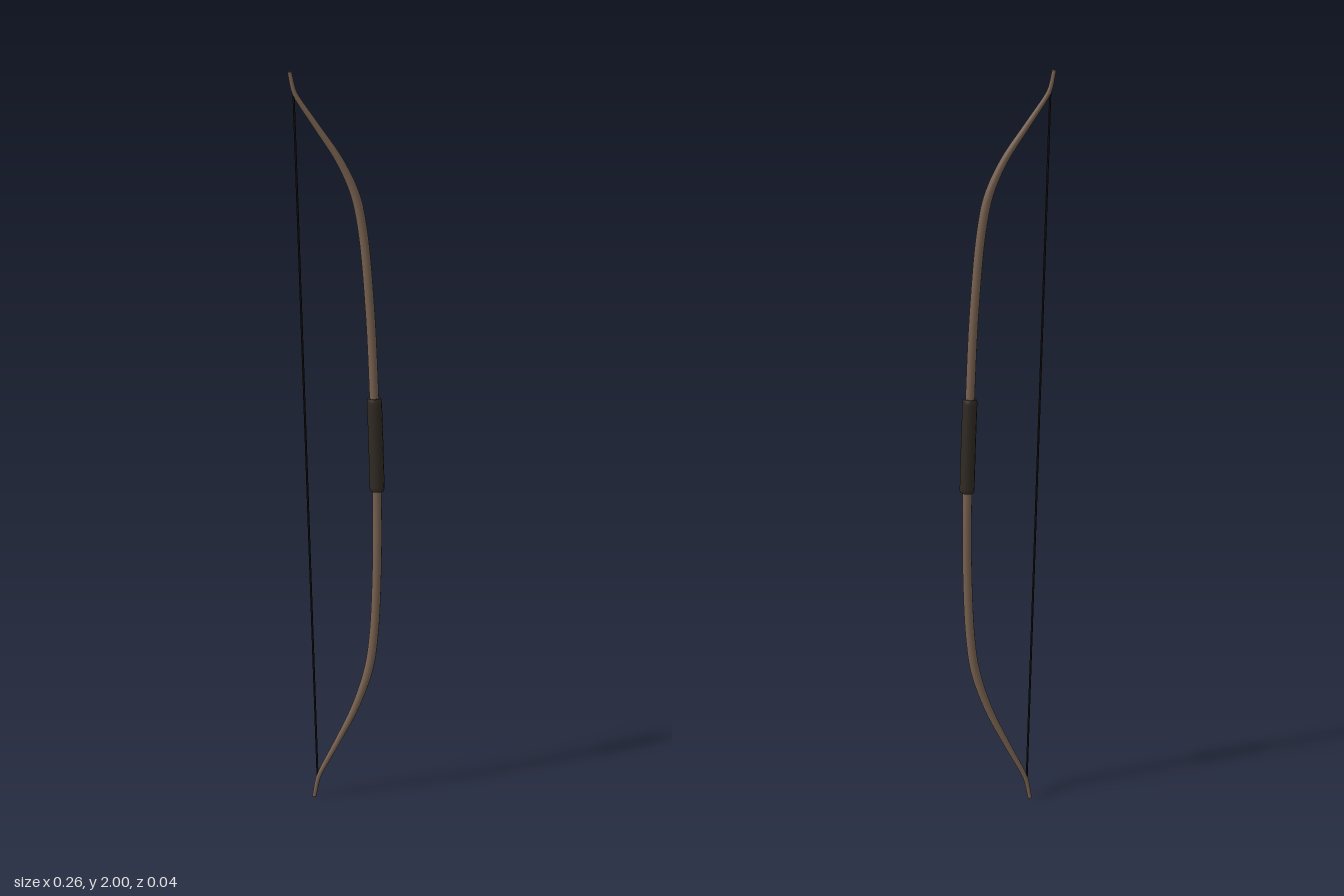
import * as THREE from 'three';

// Tapered tube with closed ends: sweeps a circle along a curve, radius given by r(t)
function sweep(curve, steps, sides, r) {
  const pos = [], idx = [];
  const side = new THREE.Vector3(0, 0, 1);
  for (let i = 0; i <= steps; i++) {
    const t = i / steps;
    const p = curve.getPointAt(t), tan = curve.getTangentAt(t);
    const n = new THREE.Vector3().crossVectors(side, tan).normalize();
    for (let j = 0; j < sides; j++) {
      const a = (j / sides) * Math.PI * 2;
      const v = p.clone()
        .addScaledVector(n, Math.cos(a) * r(t))
        .addScaledVector(side, Math.sin(a) * r(t));
      pos.push(v.x, v.y, v.z);
      if (i < steps) {
        const k = (j + 1) % sides, A = i * sides, B = A + sides;
        idx.push(A + j, A + k, B + j, A + k, B + k, B + j);
      }
    }
  }
  // end caps, with their own corners so the rims stay sharp
  const last = steps * sides, cap = pos.length / 3;
  pos.push(...pos.slice(0, sides * 3), ...pos.slice(last * 3, (last + sides) * 3));
  for (let j = 1; j < sides - 1; j++) {
    const end = cap + sides;
    idx.push(cap, cap + j + 1, cap + j, end, end + j, end + j + 1);
  }
  const g = new THREE.BufferGeometry();
  g.setAttribute('position', new THREE.Float32BufferAttribute(pos, 3));
  g.setIndex(idx);
  g.computeVertexNormals();
  return g;
}

const path = (pts) => new THREE.CatmullRomCurve3(pts.map(([x, y]) => new THREE.Vector3(x, y, 0)));

export function createModel() {
  const material = (name, color) => {
    const m = new THREE.MeshStandardMaterial({ color });
    m.name = name;
    return m;
  };
  const wood = material('brown wood', 0x776150);
  const leather = material('dark leather', 0x302a23);
  const cord = material('black cord', 0x14120f);

  const group = new THREE.Group();
  group.name = 'bow';
  const add = (name, geometry, mat) => {
    const mesh = new THREE.Mesh(geometry, mat);
    mesh.name = name;
    group.add(mesh);
  };

  // Recurved stave, thick along the middle and narrowing to both tips
  const stave = path([
    [-0.063, 0.002], [-0.054, 0.05], [-0.049, 0.066], [0.0, 0.16], [0.05, 0.262],
    [0.086, 0.37], [0.1, 0.468], [0.108, 0.66], [0.107, 0.88], [0.099, 1.13],
    [0.087, 1.37], [0.067, 1.585], [0.047, 1.68], [0.007, 1.768], [-0.05, 1.854],
    [-0.105, 1.936], [-0.112, 1.952], [-0.122, 1.999],
  ]);
  const staveRadius = (t) => 0.0055 + 0.007 * Math.min(1, Math.min(t, 1 - t) / 0.19);
  add('stave', sweep(stave, 140, 12, staveRadius), wood);

  // Wrapped grip with slightly rounded ends
  const grip = path([[0.108, 0.878], [0.104, 1.005], [0.099, 1.134]]);
  add('grip', sweep(grip, 40, 12, (t) => (t < 0.02 || t > 0.98 ? 0.0175 : 0.02)), leather);

  // Taut string between the nocks
  const string = path([[-0.054, 0.06], [-0.112, 1.945]]);
  add('string', sweep(string, 1, 6, () => 0.0028), cord);

  return group;
}
